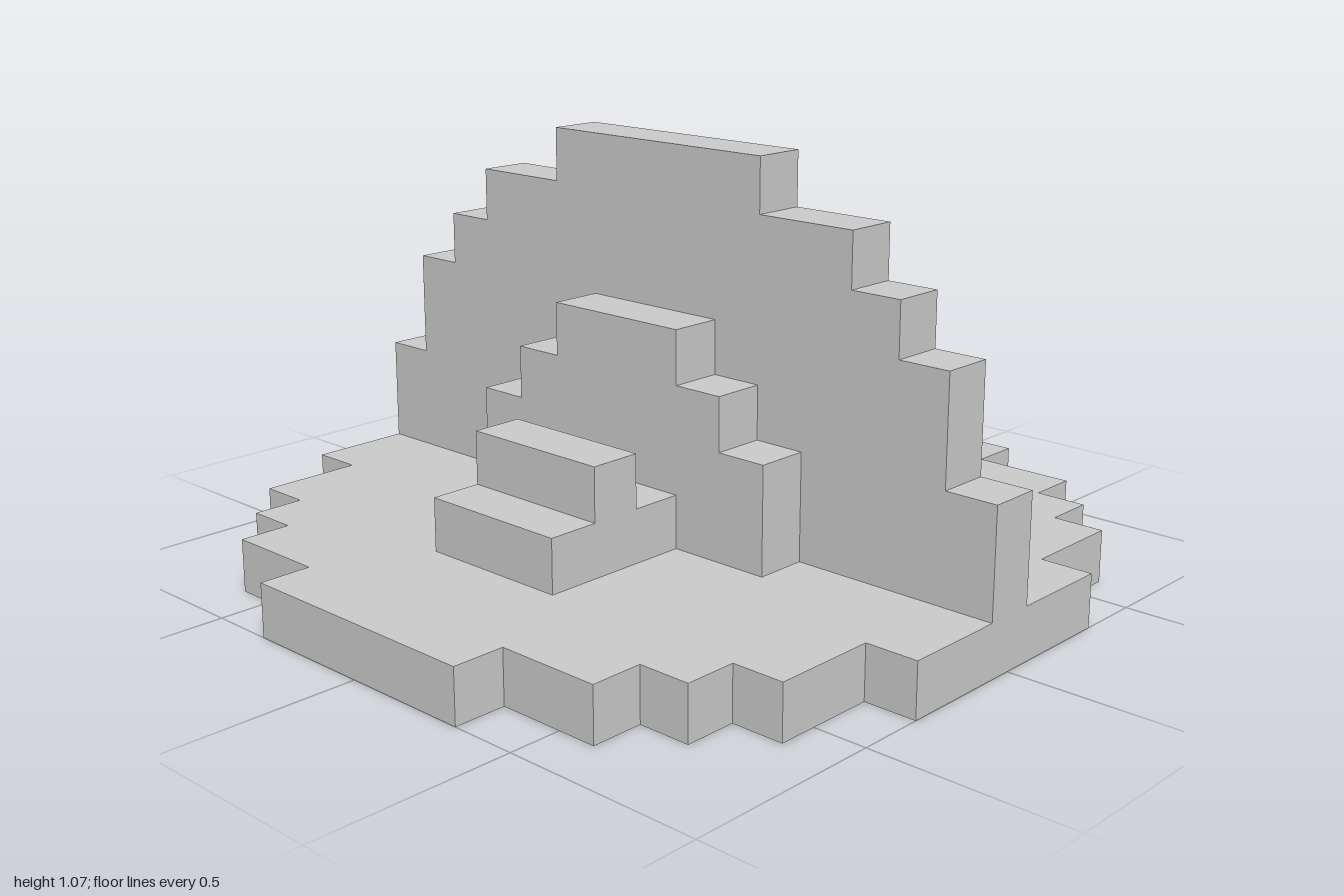
import * as THREE from 'three';

const U = 2 / 15; // edge of one cube
const material = new THREE.MeshStandardMaterial({ color: 0xcccccc, flatShading: true });

// Stepped outline, symmetric in x: steps are [half width, top], rising from base
function steppedHalf(steps, base) {
  const side = [];
  let y = base;
  for (const [w, top] of steps) {
    side.push([w, y], [w, top]);
    y = top;
  }
  return side;
}

function toShape(points) {
  return new THREE.Shape(points.map(([x, y]) => new THREE.Vector2(x * U, y * U)));
}

function extrude(shape, depth) {
  return new THREE.ExtrudeGeometry(shape, { depth: depth * U, bevelEnabled: false });
}

function addPart(group, name, geometry) {
  const mesh = new THREE.Mesh(geometry, material);
  mesh.name = name;
  group.add(mesh);
  return mesh;
}

// Upright stepped slab standing on the base plate, from z0 to z1
function addSlab(group, name, steps, z0, z1) {
  const right = steppedHalf(steps, 1);
  const left = right.map(([x, y]) => [-x, y]).reverse();
  const slab = addPart(group, name, extrude(toShape([...right, ...left]), z1 - z0));
  slab.position.z = z0 * U;
}

export function createModel() {
  const group = new THREE.Group();
  group.name = 'steppedDiscStand';

  // Round stepped base plate with a square socket in its underside
  const quarter = steppedHalf([[7.5, 2.5], [6.5, 4.5], [5.5, 5.5], [4.5, 6.5], [2.5, 7.5]], 0).slice(1);
  const mirror = (sx, sy) => quarter.map(([x, y]) => [x * sx, y * sy]);
  const plate = toShape([
    ...quarter,
    ...mirror(-1, 1).reverse(),
    ...mirror(-1, -1),
    ...mirror(1, -1).reverse(),
  ]);
  plate.holes.push(toShape([[-0.5, -0.5], [-0.5, 0.5], [0.5, 0.5], [0.5, -0.5]]));
  addPart(group, 'basePlate', extrude(plate, 1).rotateX(-Math.PI / 2));

  // Half-round wall across the middle; its underside closes the socket
  addSlab(group, 'wall', [[7.5, 3], [6.5, 5], [5.5, 6], [4.5, 7], [2.5, 8]], -0.5, 0.5);

  // Smaller stepped panel in front of the wall
  addSlab(group, 'frontPanel', [[3.5, 3], [2.5, 4], [1.5, 5]], 0.5, 1.5);

  // Low block with a raised ridge
  const profile = toShape([[1.5, 1], [4.5, 1], [4.5, 2], [3.5, 2], [3.5, 3], [2.5, 3], [2.5, 2], [1.5, 2]]);
  const block = extrude(profile, 3).rotateY(-Math.PI / 2).translate(1.5 * U, 0, 0);
  addPart(group, 'ridgedBlock', block);

  return group;
}
